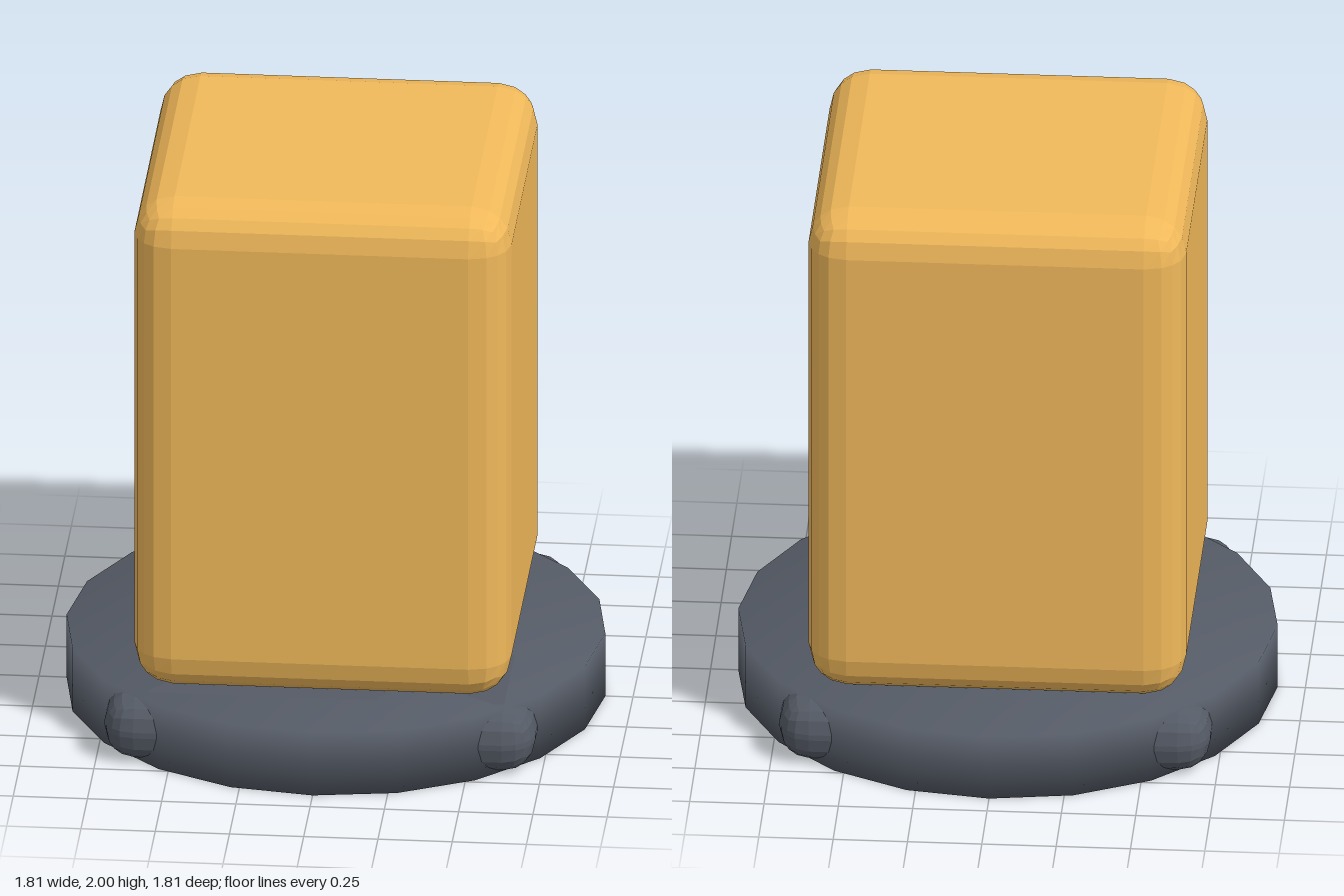
import * as THREE from 'three';
import { mergeVertices } from 'three/addons/utils/BufferGeometryUtils.js';
import { RoundedBoxGeometry } from 'three/addons/geometries/RoundedBoxGeometry.js';

const BASE_HEIGHT = 0.23;

export function createModel() {
  const model = new THREE.Group();
  const add = (name, geometry, color, y, flatShading) => {
    const material = new THREE.MeshStandardMaterial({ color, flatShading });
    const mesh = new THREE.Mesh(geometry, material);
    mesh.name = name;
    mesh.position.y = y;
    model.add(mesh);
  };

  // Tall block with softly bevelled edges
  add('body', new RoundedBoxGeometry(1.27, 1.775, 1.27, 2, 0.135), 0xf0b85a, 1.1125, true);

  // Round base disc, 20 sides, with normals shared between side and caps
  let disc = new THREE.CylinderGeometry(0.907, 0.907, BASE_HEIGHT, 20);
  disc.deleteAttribute('normal');
  disc.deleteAttribute('uv');
  disc = mergeVertices(disc);
  disc.computeVertexNormals();
  add('baseDisc', disc, 0x555b66, BASE_HEIGHT / 2, false);

  // Square rounded plate whose corners poke out of the disc as bumps
  add('basePlate', new RoundedBoxGeometry(1.45, BASE_HEIGHT, 1.45, 2, 0.105), 0x555b66, BASE_HEIGHT / 2, true);

  return model;
}
